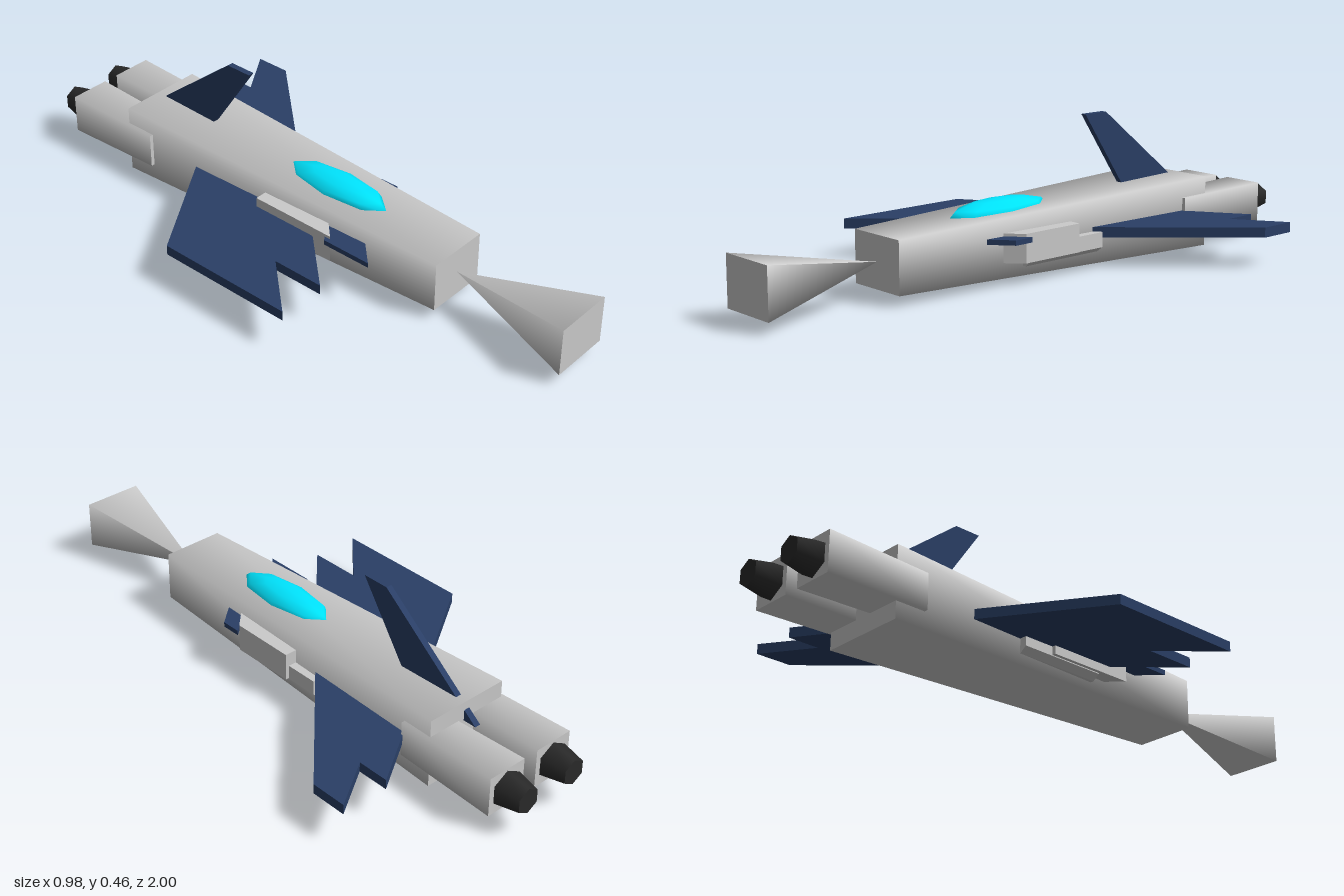
import * as THREE from 'three';

const mat = (color) => new THREE.MeshStandardMaterial({ color });
const grey = mat(0xcccccc), navy = mat(0x2a3f66), dark = mat(0x2a2a2a), cyan = mat(0x00e5ff);

export function createModel() {
  const model = new THREE.Group();

  const add = (name, geometry, material) => {
    const mesh = new THREE.Mesh(geometry, material);
    mesh.name = name;
    model.add(mesh);
    return mesh;
  };

  const shapeOf = (points) => new THREE.Shape(points.map(([a, b]) => new THREE.Vector2(a, b)));
  const extrude = (points, depth) =>
    new THREE.ExtrudeGeometry(shapeOf(points), { depth, bevelEnabled: false });

  // Horizontal plate from a plan outline of [x, z], between two heights
  const plate = (name, points, y0, y1, material) => {
    const g = extrude(points.map(([x, z]) => [x, -z]), y1 - y0);
    add(name, g.rotateX(-Math.PI / 2).translate(0, y0, 0), material);
  };

  // Smooth-shaded square tube along z, given half widths at its front and back
  const squareTube = (name, front, back, z0, z1, x, y, tall) => {
    const g = new THREE.CylinderGeometry(front * Math.SQRT2, back * Math.SQRT2, z0 - z1, 4);
    g.rotateY(Math.PI / 4).rotateX(Math.PI / 2).scale(1, tall, 1);
    add(name, g.translate(x, y, (z0 + z1) / 2), grey);
  };

  // Body and flared nose
  squareTube('fuselage', 0.103, 0.145, 0.56, -0.675, 0, 0.117, 0.79);
  squareTube('nose', 0.1, 0, 1, 0.56, 0, 0.118, 0.79);

  // Canopy
  const canopy = new THREE.SphereGeometry(1, 8, 6).scale(0.07, 0.045, 0.2);
  add('canopy', canopy.translate(0, 0.2, 0.095), cyan);

  // Wings: both sheared the same way, so one sweeps back and one forward
  plate('leftWing', [[0.08, -0.126], [0.49, -0.57], [0.49, -0.69], [0.33, -0.585],
    [0.33, -0.69], [0.08, -0.527]], 0.1, 0.132, navy);
  plate('rightWing', [[-0.08, 0.05], [-0.33, 0.317], [-0.33, 0.142], [-0.49, 0.317],
    [-0.49, -0.15], [-0.08, -0.418]], 0.1, 0.132, navy);

  // Canards
  plate('leftCanard', [[0.08, 0.27], [0.18, 0.185], [0.18, 0.12], [0.08, 0.2]], 0.138, 0.154, navy);
  plate('rightCanard', [[-0.08, 0.27], [-0.18, 0.37], [-0.18, 0.2], [-0.08, 0.12]], 0.138, 0.154, navy);

  // Intakes with slanted mouths
  plate('leftIntake', [[0.08, 0.215], [0.165, 0.13], [0.165, -0.087], [0.08, -0.087]], 0.073, 0.163, grey);
  plate('rightIntake', [[-0.08, 0.125], [-0.165, 0.21], [-0.165, -0.09], [-0.08, -0.09]], 0.073, 0.163, grey);

  for (const [side, s] of [['left', 1], ['right', -1]]) {
    // Duct below and behind each intake
    const duct = extrude([[0.08, 0.053], [0.13, 0.053], [0.153, 0.07], [0.153, 0.118], [0.08, 0.118]]
      .map(([x, y]) => [s * x, y]), 0.3);
    add(side + 'Duct', duct.translate(0, 0, -0.197), grey);

    // Engine and six-sided nozzle
    squareTube(side + 'Engine', 0.06, 0.068, -0.57, -0.92, s * 0.094, 0.117, 0.95);
    const nozzle = new THREE.CylinderGeometry(0.058, 0.042, 0.08, 6);
    add(side + 'Nozzle', nozzle.rotateX(Math.PI / 2).translate(s * 0.094, 0.117, -0.96), dark);
  }

  // Tail fin, outlined in [z, y]
  const fin = extrude([[-0.26, 0.462], [-0.35, 0.462], [-0.72, 0.168], [-0.46, 0.168]], 0.02);
  add('tailFin', fin.rotateY(-Math.PI / 2).translate(0.01, 0, 0), navy);

  return model;
}
